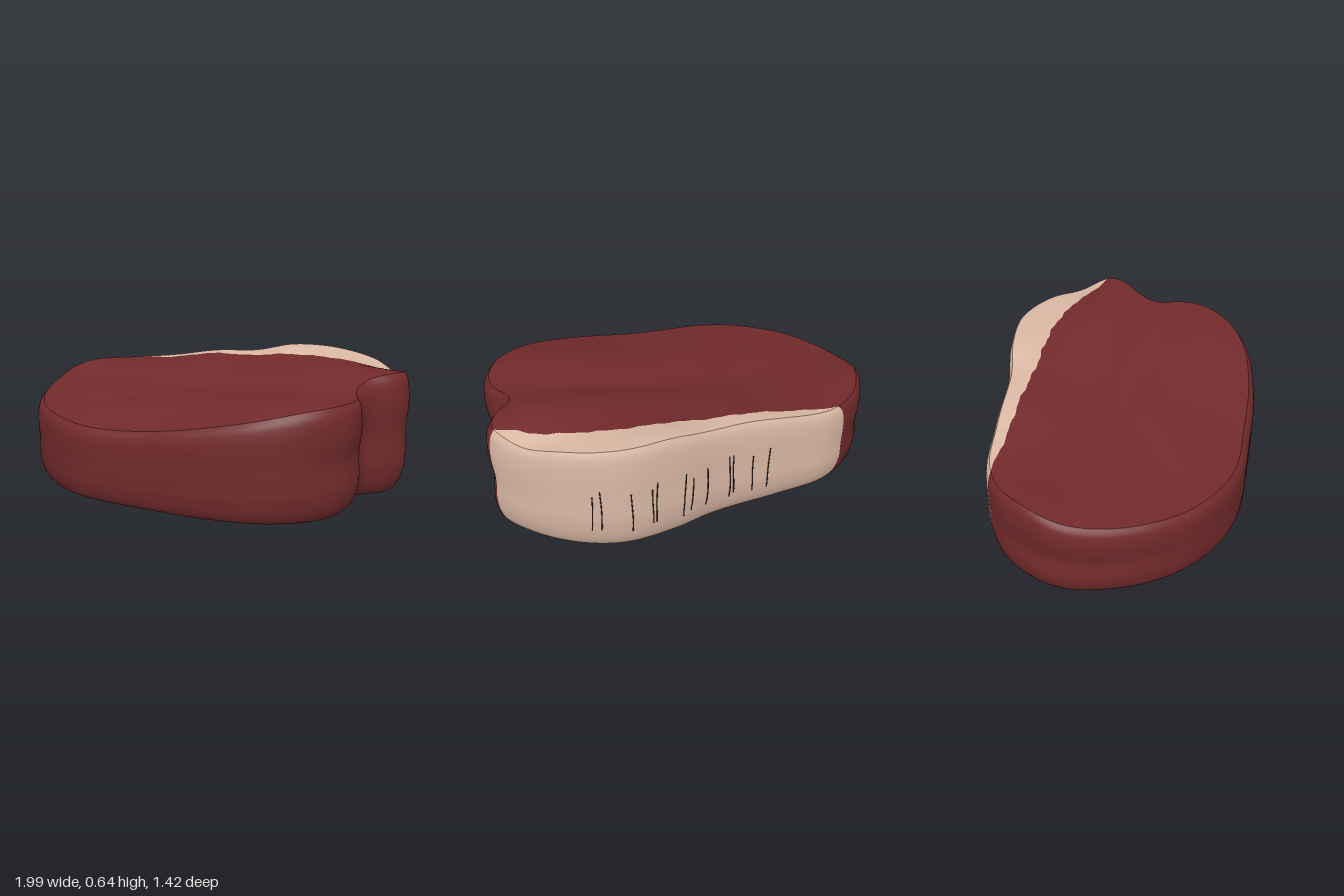
import * as THREE from 'three';

const N = 260; // columns around the outline

// Outline seen from above as [x, z], starting at the left end and going round the back
const OUTLINE = [
  [-1, 0], [-0.97, -0.18], [-0.88, -0.34], [-0.72, -0.46], [-0.45, -0.525], [-0.1, -0.59],
  [0.12, -0.665], [0.38, -0.71], [0.62, -0.66], [0.85, -0.525], [0.995, -0.36], [0.975, -0.26],
  [0.895, -0.13], [0.895, -0.05], [0.96, 0.07], [0.965, 0.2], [0.88, 0.37], [0.69, 0.53],
  [0.4, 0.63], [0.1, 0.675], [-0.24, 0.705], [-0.46, 0.66], [-0.7, 0.525], [-0.89, 0.3],
];

// Side profile as [inset, fraction of the local height]
const PROFILE = [
  [0.13, 0], [0.08, 0.018], [0.04, 0.09], [0.014, 0.22], [0.003, 0.38], [0.002, 0.55],
  [0.001, 0.76], [0.006, 0.88], [0.016, 0.95], [0.036, 1],
];

const bump = (x, z, cx, cz, rx, rz) => Math.exp(-(((x - cx) / rx) ** 2) - ((z - cz) / rz) ** 2);

// Height of the uneven top
function topHeight(x, z) {
  const diagonal = (z + x * 0.8) / 1.28; // distance from the slanted crease
  return 0.5 + 0.07 * x - 0.1 * z
    + 0.045 * bump(x, z, 0.26, -0.65, 0.3, 0.2)
    + 0.015 * bump(x, z, 0.12, -0.6, 0.14, 0.2)
    + 0.035 * bump(x, z, -0.25, -0.48, 0.25, 0.2)
    + 0.04 * bump(x, z, -0.95, -0.15, 0.22, 0.22)
    + 0.055 * bump(x, z, 0.6, -0.26, 0.45, 0.22)
    + 0.035 * bump(x, z, 0.65, 0.3, 0.3, 0.2)
    - 0.04 * bump(x, z, 0.88, -0.52, 0.18, 0.12)
    - 0.05 * bump(x, z, 0, 0.7, 0.5, 0.32)
    - 0.03 * bump(x, z, 0.1, 0, 0.75, 0.15)
    - 0.015 * bump(x, diagonal, -0.35, 0, 0.25, 0.09);
}

// z of the wavy border between meat and fat
function fatBorder(x) {
  const c = Math.min(Math.max(x, -0.8), 1);
  return -0.42 - 0.08 * bump(c, 0, 0.38, 0, 0.4, 1) - 0.03 * bump(c, 0, -0.2, 0, 0.3, 1)
    + 0.054 * THREE.MathUtils.smoothstep(c, 0.65, 0.98)
    + 0.004 * Math.sin(c * 31) + 0.003 * Math.sin(c * 67 + 1);
}

// Rings of points: from the centre of the underside up to the rim, and from the rim to the top centre
function buildRings() {
  const curve = new THREE.CatmullRomCurve3(OUTLINE.map(([x, z]) => new THREE.Vector3(x, 0, z)), true);
  const columns = [];
  for (let i = 0; i < N; i++) {
    const p = curve.getPointAt(i / N), t = curve.getTangentAt(i / N);
    columns.push({ p, inward: new THREE.Vector3(-t.z, 0, t.x) });
  }
  const profile = new THREE.SplineCurve(PROFILE.map(([a, b]) => new THREE.Vector2(a, b))).getPoints(36);
  const sideRing = ({ x: inset, y: f }) => columns.map(({ p, inward }) => {
    // The lower edge is tighter along the front, the rim along the back; the ends have a slight waist
    const scale = f < 0.3 ? 1 - 0.5 * Math.max(0, -inward.z) : 1 - 0.35 * Math.max(0, inward.z);
    const waist = 0.02 * inward.x ** 4 * Math.exp(-(((f - 0.5) / 0.16) ** 2));
    const q = p.clone().addScaledVector(inward, inset * scale + waist);
    q.y = Math.max(0, f) * topHeight(q.x, q.z);
    return q;
  });
  const side = profile.map(sideRing);
  const rim = side[side.length - 1];
  const steps = 26, bottom = [], top = [rim];
  for (let k = 0; k < steps; k++) {
    bottom.push(side[0].map((q) => new THREE.Vector3(q.x * k / steps, 0, q.z * k / steps)));
    const s = 1 - (k + 1) / steps;
    top.push(rim.map((q) => new THREE.Vector3(q.x * s, topHeight(q.x * s, q.z * s), q.z * s)));
  }
  return { body: [...bottom, ...side], side, top };
}

// Smooth skin through the given rings
function buildSkin(rings) {
  const positions = [], index = [];
  rings.forEach((ring) => ring.forEach((q) => positions.push(q.x, q.y, q.z)));
  for (let k = 0; k < rings.length - 1; k++) {
    for (let i = 0; i < N; i++) {
      const j = (i + 1) % N, a = k * N + i, b = k * N + j, c = b + N, d = a + N;
      index.push(a, d, c, a, c, b);
    }
  }
  const geometry = new THREE.BufferGeometry();
  geometry.setAttribute('position', new THREE.Float32BufferAttribute(positions, 3));
  geometry.setIndex(index);
  geometry.computeVertexNormals();
  return geometry;
}

// Keeps the part of the skin on one side of the fat border (sign 1: meat, -1: fat)
function cutSkin(skin, sign) {
  const pos = skin.attributes.position, nor = skin.attributes.normal, idx = skin.index;
  const positions = [], normals = [];
  const corner = (n) => {
    const p = new THREE.Vector3().fromBufferAttribute(pos, n);
    return { p, n: new THREE.Vector3().fromBufferAttribute(nor, n), f: sign * (p.z - fatBorder(p.x)) };
  };
  for (let t = 0; t < idx.count; t += 3) {
    const tri = [0, 1, 2].map((m) => corner(idx.getX(t + m)));
    const poly = [];
    tri.forEach((a, m) => {
      const b = tri[(m + 1) % 3];
      if (a.f >= 0) poly.push(a);
      if ((a.f >= 0) !== (b.f >= 0)) {
        const s = a.f / (a.f - b.f);
        poly.push({ p: a.p.clone().lerp(b.p, s), n: a.n.clone().lerp(b.n, s).normalize() });
      }
    });
    for (let m = 1; m + 1 < poly.length; m++) {
      for (const v of [poly[0], poly[m], poly[m + 1]]) {
        positions.push(...v.p.toArray());
        normals.push(...v.n.toArray());
      }
    }
  }
  const geometry = new THREE.BufferGeometry();
  geometry.setAttribute('position', new THREE.Float32BufferAttribute(positions, 3));
  geometry.setAttribute('normal', new THREE.Float32BufferAttribute(normals, 3));
  return geometry;
}

export function createModel() {
  const material = (name, color) => {
    const m = new THREE.MeshStandardMaterial({ color });
    m.name = name;
    return m;
  };
  const meat = material('meat red', 0x722a2b);
  const fat = material('fat cream', 0xdab8a4);
  const dark = material('score brown', 0x3a2a24);

  const group = new THREE.Group();
  group.name = 'steak';
  const add = (name, geometry, mat) => {
    const mesh = new THREE.Mesh(geometry, mat);
    mesh.name = name;
    group.add(mesh);
  };

  // Body and top are separate skins, so the rim stays a crisp edge
  const { body, side, top } = buildRings();
  for (const [name, rings] of [['Body', body], ['Top', top]]) {
    const skin = buildSkin(rings);
    add(`meat${name}`, cutSkin(skin, 1), meat);
    add(`fat${name}`, cutSkin(skin, -1), fat);
  }

  // Fine score marks running up the back of the fat
  const back = side[18].map((q, i) => ({ q, i })).filter(({ q }) => q.z < -0.4);
  [0.55, 0.52, 0.375, 0.27, 0.235, 0.09, 0.06, -0.03, -0.14, -0.17, -0.27, -0.35].forEach((x, n) => {
    const { i } = back.reduce((a, b) => (Math.abs(b.q.x - x) < Math.abs(a.q.x - x) ? b : a));
    const low = 0.14 + 0.015 * Math.sin(n * 2.3), high = 0.41 + 0.02 * Math.sin(n * 1.7);
    const path = side.map((ring) => ring[i].clone()).filter((q) => q.y > low && q.y < high);
    path.forEach((q) => { q.x += 0.004 * Math.sin(q.y * 14 + n); q.z -= 0.001; });
    add('scoreMark', new THREE.TubeGeometry(new THREE.CatmullRomCurve3(path), 16, 0.003, 5), dark);
  });
  return group;
}
